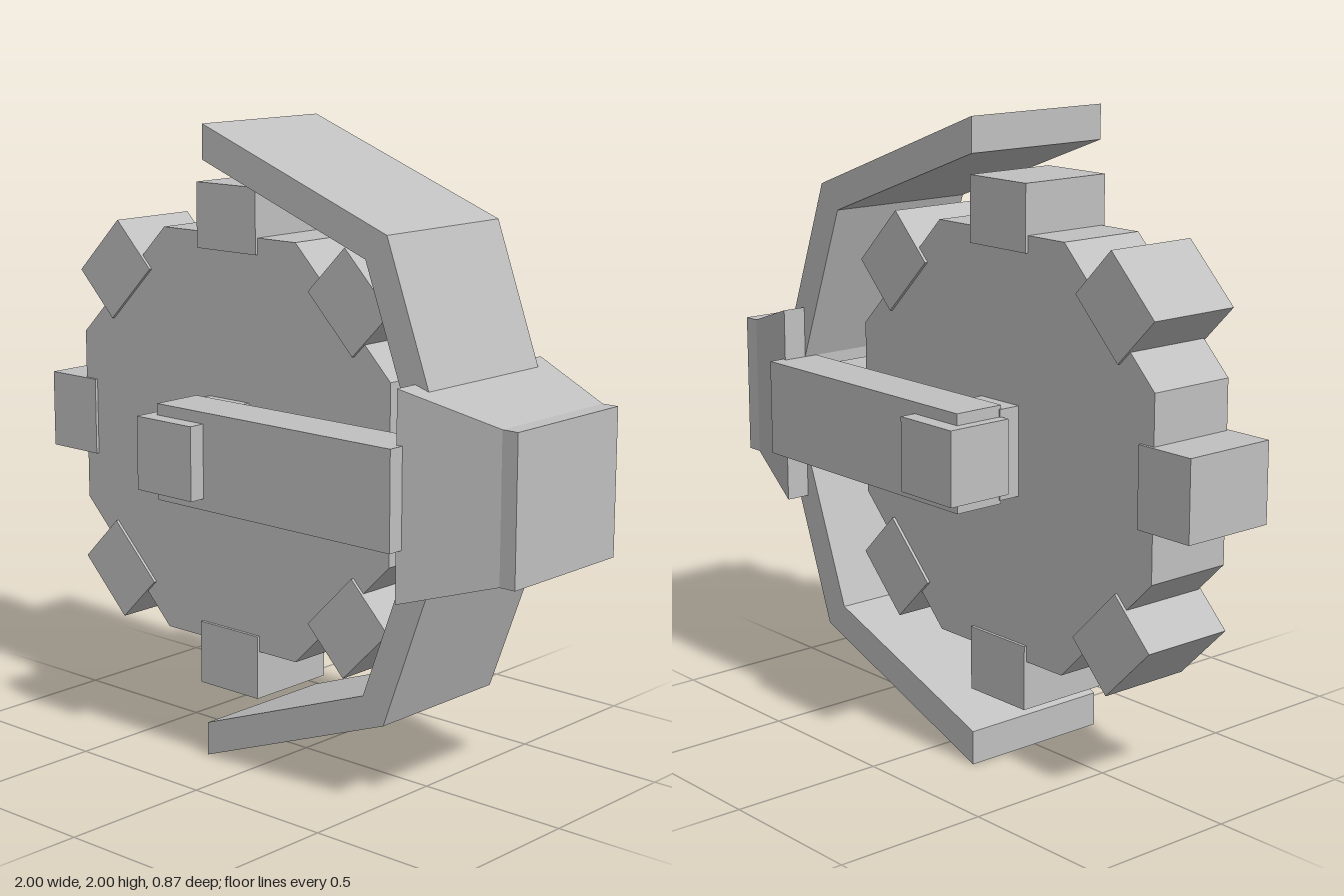
import * as THREE from 'three';

export function createModel() {
  const model = new THREE.Group();
  const grey = new THREE.MeshStandardMaterial({ color: 0xc0c0c0, flatShading: true });
  grey.name = 'plainGrey';
  const CX = -0.19, CY = 1.0; // wheel centre

  const add = (name, geometry, parent = model) => {
    const mesh = new THREE.Mesh(geometry, grey);
    mesh.name = name;
    parent.add(mesh);
    return mesh;
  };
  // box given by its minimum and maximum corners
  const block = (name, [x0, y0, z0], [x1, y1, z1], parent) => {
    const mesh = add(name, new THREE.BoxGeometry(x1 - x0, y1 - y0, z1 - z0), parent);
    mesh.position.set((x0 + x1) / 2, (y0 + y1) / 2, (z0 + z1) / 2);
    return mesh;
  };
  // outline in the xy plane, extruded evenly about z = 0
  const slab = (points, depth) => new THREE.ExtrudeGeometry(
    new THREE.Shape(points.map(([x, y]) => new THREE.Vector2(x, y))),
    { depth, bevelEnabled: false },
  ).translate(0, 0, -depth / 2);

  // eight-sided wheel with a square tooth on every side
  const wheel = new THREE.Group();
  wheel.name = 'wheel';
  wheel.position.set(CX, CY, 0);
  model.add(wheel);
  const a = 0.656, b = 0.28;
  add('wheelDisc', slab([[a, -b], [a, b], [b, a], [-b, a], [-a, b], [-a, -b], [-b, -a], [b, -a]], 0.295), wheel);
  for (let i = 0; i < 8; i++) {
    const angle = i * Math.PI / 4;
    const tooth = add('tooth', new THREE.BoxGeometry(0.205, 0.25, 0.315), wheel);
    tooth.position.set(0.707 * Math.cos(angle), 0.707 * Math.sin(angle), 0);
    tooth.rotation.z = angle;
  }

  // axle through the wheel, joining both arms
  block('axle', [CX - 0.085, CY - 0.14, -0.22], [CX + 0.085, CY + 0.14, 0.22]);

  // side arms and their square end caps
  for (const s of [-1, 1]) {
    const side = new THREE.Group();
    side.name = s > 0 ? 'frontArm' : 'backArm';
    const arm = block('armBeam', [-0.27, CY - 0.152, -0.085], [0.665, CY + 0.152, 0.085], side);
    arm.position.z = s * 0.297;
    const cap = block('armCap', [-0.305, CY - 0.116, -0.111], [-0.073, CY + 0.116, 0.111], side);
    cap.position.z = s * 0.324;
    model.add(side);
  }

  // bent guard plates above and below the wheel
  for (const s of [1, -1]) {
    const outline = [[-0.19, 1], [-0.19, 0.892], [0.46, 0.652], [0.66, 0.12], [0.765, 0.12], [0.54, 0.728]]
      .map(([x, y]) => [x, CY + s * y]);
    add(s > 0 ? 'upperGuard' : 'lowerGuard', slab(outline, 0.512));
  }

  // tapered mount: a box whose outer end is drawn in
  const taper = new THREE.BoxGeometry(0.298, 0.63, 0.67);
  const p = taper.attributes.position;
  for (let i = 0; i < p.count; i++) {
    if (p.getX(i) > 0) p.setXYZ(i, p.getX(i), Math.sign(p.getY(i)) * 0.226, Math.sign(p.getZ(i)) * 0.238);
  }
  taper.computeVertexNormals();
  add('mountTaper', taper).position.set(0.797, CY, 0);
  block('mountEnd', [0.946, CY - 0.226, -0.238], [1.0, CY + 0.226, 0.238]);

  return model;
}
